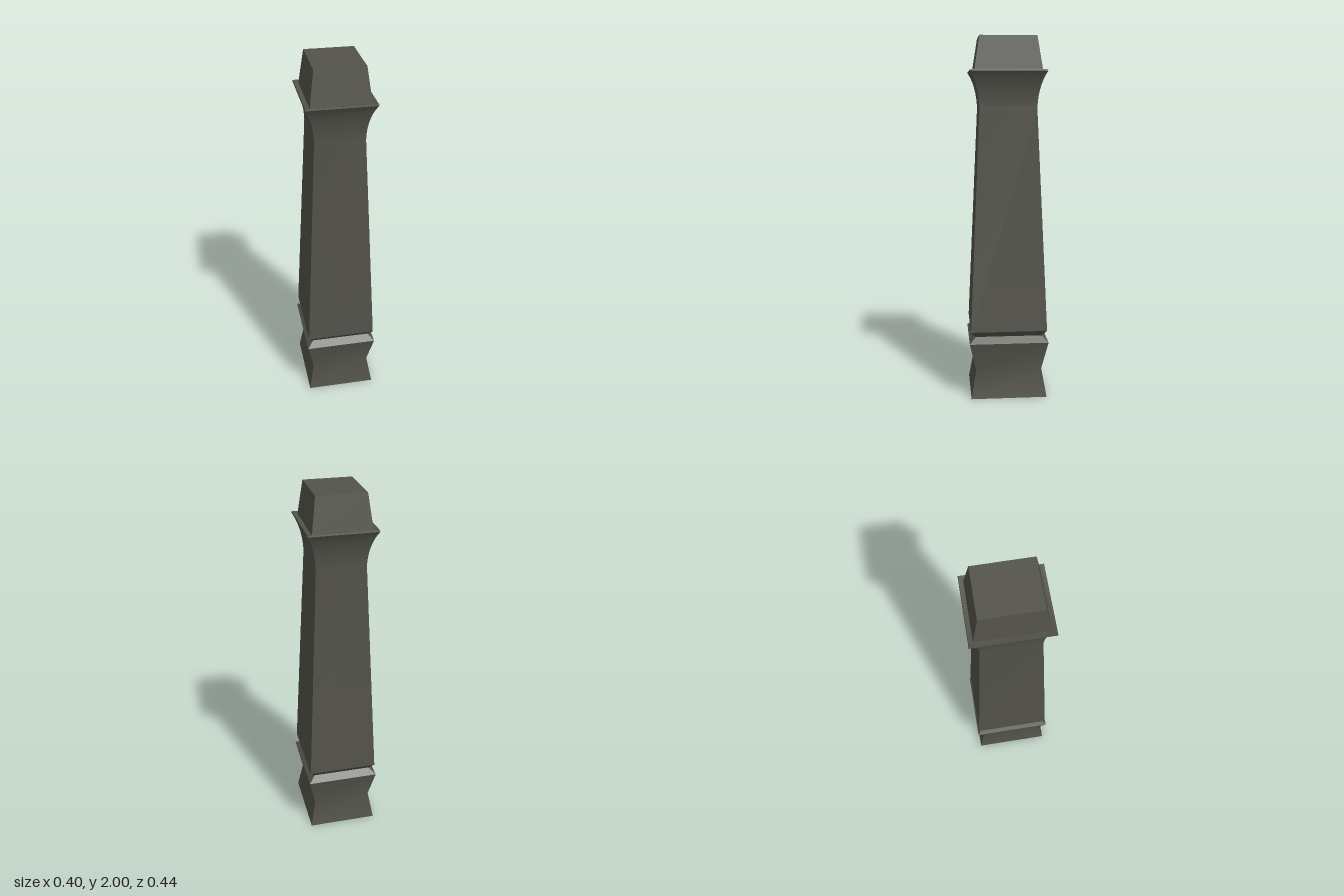
import * as THREE from 'three';
import { toCreasedNormals } from 'three/addons/utils/BufferGeometryUtils.js';

// The plan is a rectangle: slightly deeper than it is wide.
const EXTRA_DEPTH = 0.022;

// Stacks rectangular sections given as [y, half width, half depth] and caps both ends.
function rectLoft(sections) {
  const positions = [];
  const index = [];
  for (const [y, w, d = w + EXTRA_DEPTH] of sections) {
    positions.push(-w, y, d, w, y, d, w, y, -d, -w, y, -d);
  }
  for (let i = 0; i < sections.length - 1; i++) {
    for (let k = 0; k < 4; k++) {
      const a = i * 4 + k;
      const b = i * 4 + ((k + 1) % 4);
      index.push(a, b, b + 4, a, b + 4, a + 4);
    }
  }
  const t = (sections.length - 1) * 4;
  index.push(0, 2, 1, 0, 3, 2, t, t + 1, t + 2, t, t + 2, t + 3);
  const geometry = new THREE.BufferGeometry();
  geometry.setAttribute('position', new THREE.Float32BufferAttribute(positions, 3));
  geometry.setIndex(index);
  return toCreasedNormals(geometry, 0.5);
}

export function createModel() {
  const stone = new THREE.MeshStandardMaterial({ color: 0x53534b });
  stone.name = 'dark stone';
  const group = new THREE.Group();
  group.name = 'squarePost';

  const add = (name, sections) => {
    const mesh = new THREE.Mesh(rectLoft(sections), stone);
    mesh.name = name;
    group.add(mesh);
  };

  // Waisted plinth with a bevel running in to the groove
  add('base', [[0, 0.191, 0.212], [0.16, 0.163, 0.184], [0.32, 0.199, 0.22], [0.353, 0.164, 0.186]]);

  // Tapered shaft, sweeping out into a flared lip
  const flare = new THREE.CubicBezierCurve(
    new THREE.Vector2(0.135, 1.61),
    new THREE.Vector2(0.135, 1.68),
    new THREE.Vector2(0.152, 1.76),
    new THREE.Vector2(0.186, 1.812)
  );
  add('shaft', [
    [0.353, 0.164, 0.186],
    [0.386, 0.191, 0.212],
    ...flare.getPoints(10).map((p) => [p.y, p.x]),
    [1.82, 0.184],
    [1.812, 0.158],
  ]);

  // Tapered cap block
  add('cap', [[1.805, 0.159, 0.186], [2, 0.133, 0.155]]);

  return group;
}
